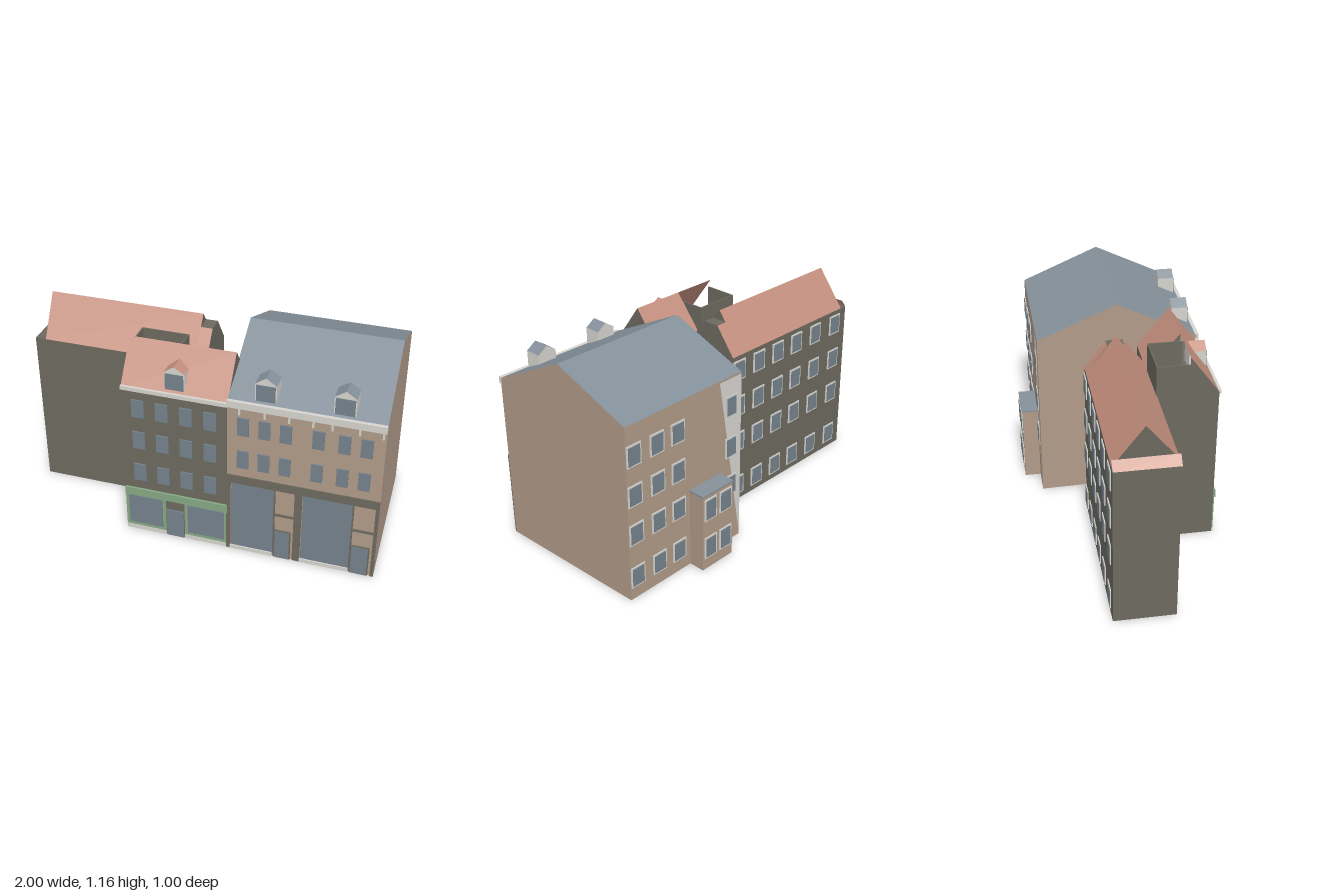
import * as THREE from 'three';

const mat = (name, color, side = THREE.FrontSide) => {
  const m = new THREE.MeshStandardMaterial({ color, side });
  m.name = name;
  return m;
};

export function createModel() {
  const model = new THREE.Group();
  const tan = mat('tan plaster', 0xb09a88);
  const olive = mat('dark grey plaster', 0x6c695f);
  const tile = mat('red roof tile', 0xc48f7e, THREE.DoubleSide);
  const slate = mat('slate', 0x84909a);
  const white = mat('white trim', 0xd6d4ce);
  const glass = mat('glass', 0x74818b);
  const green = mat('green shopfront', 0x85a883);

  const group = (name, parent = model) => {
    const g = new THREE.Group();
    g.name = name;
    parent.add(g);
    return g;
  };

  // Box given by its lower and upper bounds
  const box = (parent, name, m, x0, x1, y0, y1, z0, z1) => {
    const mesh = new THREE.Mesh(new THREE.BoxGeometry(x1 - x0, y1 - y0, z1 - z0), m);
    mesh.position.set((x0 + x1) / 2, (y0 + y1) / 2, (z0 + z1) / 2);
    mesh.name = name;
    parent.add(mesh);
    return mesh;
  };

  // Flat convex faces, each a counter-clockwise loop of corners
  const faces = (parent, name, m, ...loops) => {
    const pos = [];
    for (const l of loops)
      for (let i = 1; i < l.length - 1; i++) pos.push(...l[0], ...l[i], ...l[i + 1]);
    const geo = new THREE.BufferGeometry();
    geo.setAttribute('position', new THREE.Float32BufferAttribute(pos, 3));
    geo.computeVertexNormals();
    const mesh = new THREE.Mesh(geo, m);
    mesh.name = name;
    parent.add(mesh);
  };

  // Prism from a [z, y] profile (front, over the top, to the back) between two x rules;
  // the edges listed in roofEdges get the roof material
  const house = (parent, name, profile, x0, x1, wall, roof, roofEdges = []) => {
    const L = ([z, y]) => [x0(z), y, z], R = ([z, y]) => [x1(z), y, z];
    const walls = [profile.map(L), profile.map(R).reverse()], roofs = [];
    profile.forEach((p, i) => {
      const q = profile[(i + 1) % profile.length];
      (roofEdges.includes(i) ? roofs : walls).push([L(p), R(p), R(q), L(q)]);
    });
    faces(parent, name + ' walls', wall, ...walls);
    if (roofs.length) faces(parent, name + ' roof', roof, ...roofs);
  };
  const at = (x) => () => x;

  // Thin window plates on a front (dir 1) or back (dir -1) wall
  const windows = (parent, xs, ys, z, w, h, dir, framed) => {
    const plate = (name, m, x, y, ww, hh, t) =>
      box(parent, name, m, x - ww / 2, x + ww / 2, y - hh / 2, y + hh / 2,
        Math.min(z, z + dir * t), Math.max(z, z + dir * t));
    for (const x of xs) for (const y of ys) {
      if (framed) plate('window frame', white, x, y, w + 0.018, h + 0.018, 0.005);
      plate('window pane', glass, x, y, w, h, 0.008);
    }
  };

  // Dormer with pitched roof
  const dormer = (parent, x, y, roof) => {
    const g = group('dormer', parent), w = 0.055, a = 0.37, b = 0.462, e = y + 0.105, p = y + 0.142;
    box(g, 'dormer walls', white, x - w, x + w, y, e, a, b);
    box(g, 'dormer window', glass, x - w + 0.006, x + w - 0.006, y, e - 0.005, b, b + 0.004);
    faces(g, 'dormer gables', white,
      [[x - w, e, b], [x + w, e, b], [x, p, b]], [[x + w, e, a], [x - w, e, a], [x, p, a]]);
    faces(g, 'dormer roof', roof,
      [[x + w, e, b], [x + w, e, a], [x, p, a], [x, p, b]],
      [[x - w, e, a], [x - w, e, b], [x, p, b], [x, p, a]]);
  };

  // Tan double house
  const F = 0.485, B = -0.405;
  const tanHouse = group('tan house');
  house(tanHouse, 'tan house', [[F, 0], [F, 0.94], [0.035, 1.165], [B, 0.985], [B, 0]],
    (z) => 0.2 + (z - F) * 0.028, (z) => 1 + (z - F) * 0.034, tan, slate, [1, 2]);
  windows(tanHouse, [0.285, 0.395, 0.505, 0.67, 0.8, 0.91], [0.795, 0.595], F, 0.06, 0.105, 1);
  windows(tanHouse, [0.63, 0.77, 0.92], [0.82, 0.6, 0.38, 0.13], B, 0.075, 0.1, -1, true);
  faces(tanHouse, 'white wall wedge', white,
    [[0.335, 0.975, B - 0.003], [0.178, 0.01, B - 0.003], [0.176, 0.975, B - 0.003]]);
  windows(tanHouse, [0.25], [0.82, 0.58, 0.35], B - 0.001, 0.065, 0.1, -1, true);
  box(tanHouse, 'cornice', white, 0.2, 1, 0.905, 0.943, F - 0.005, 0.5);
  for (const x of [0.265, 0.395, 0.52, 0.64, 0.735, 0.87, 0.985])
    box(tanHouse, 'cornice bracket', white, x - 0.005, x + 0.005, 0.867, 0.905, F, 0.497);
  dormer(tanHouse, 0.39, 0.94, slate);
  dormer(tanHouse, 0.785, 0.94, slate);

  // Ground floor shopfronts
  for (const [a, b, split] of [[0.2, 0.582, 0.455], [0.582, 1, 0.865]]) {
    const g = group('tan house shopfront', tanHouse);
    box(g, 'shop surround', olive, a, b, 0.44, 0.488, F, 0.492);
    box(g, 'left pilaster', olive, a, a + 0.022, 0, 0.44, F, 0.491);
    box(g, 'right pilaster', olive, b - 0.018, b, 0, 0.44, F, 0.491);
    box(g, 'shop window', glass, a + 0.026, split, 0.025, 0.44, F, 0.489);
    box(g, 'window post', olive, split, split + 0.008, 0.02, 0.44, F, 0.491);
    box(g, 'transom', olive, split, b - 0.018, 0.275, 0.288, F, 0.491);
    box(g, 'door surround', olive, split + 0.005, b - 0.03, 0, 0.182, F, 0.49);
    box(g, 'door', glass, split + 0.012, b - 0.037, 0, 0.175, F, 0.493);
    box(g, 'plinth', white, a + 0.02, split, 0, 0.022, F, 0.492);
  }

  // Small rear extension
  const ext = group('rear extension');
  box(ext, 'extension walls', tan, 0.33, 0.55, 0, 0.445, -0.495, B);
  box(ext, 'extension roof', slate, 0.328, 0.552, 0.445, 0.453, -0.5, B);
  windows(ext, [0.385, 0.495], [0.36, 0.13], -0.495, 0.07, 0.11, -1, true);

  // Middle house
  const mid = group('middle house'), E = 0.905, M = 0.482, RZ = 0.325, RY = 1.12, MB = 0.15;
  house(mid, 'middle house', [[M, 0], [M, E], [MB, E], [MB, 0]], at(-0.37), at(0.2), olive);
  faces(mid, 'middle roof', tile,
    [[-0.37, E, M], [0.2, E, M], [0.2, RY, RZ], [-0.37, RY, RZ]],
    [[-0.11, RY, RZ], [0.2, RY, RZ], [0.2, E, MB], [-0.11, E, MB]]);
  faces(mid, 'middle gables', olive,
    [[0.2, E, M], [0.2, E, MB], [0.2, RY, RZ]],
    [[-0.37, E, RZ], [-0.37, E, M], [-0.37, RY, RZ]],
    [[-0.11, E, MB], [-0.11, E, RZ], [-0.11, RY, RZ]]);
  // Open light well behind the ridge
  box(mid, 'well back wall', olive, -0.37, -0.11, E, 1.077, MB, MB + 0.008);
  box(mid, 'well left wall', olive, -0.37, -0.362, E, 1.077, MB, RZ + 0.01);
  box(mid, 'well right wall', olive, -0.118, -0.11, E, 1.077, MB, RZ + 0.01);
  windows(mid, [-0.28, -0.15, -0.02, 0.11], [0.79, 0.595, 0.39], M, 0.068, 0.105, 1);
  box(mid, 'cornice', white, -0.37, 0.2, 0.895, 0.917, M - 0.005, 0.492);
  dormer(mid, -0.085, 0.918, tile);

  // Green shopfront
  const shop = group('green shopfront', mid);
  box(shop, 'shop sign band', green, -0.37, 0.205, 0.235, 0.28, M, 0.494);
  for (const [a, b] of [[-0.37, -0.142], [-0.035, 0.205]]) {
    box(shop, 'shop frame', green, a, b, 0.025, 0.235, M, 0.488);
    box(shop, 'shop window', glass, a + 0.018, b - 0.018, 0.045, 0.228, M, 0.491);
    box(shop, 'plinth', white, a, b, 0, 0.025, M, 0.49);
  }
  box(shop, 'door', glass, -0.137, -0.04, 0, 0.172, M, 0.49);

  // Rear wing
  const wing = group('rear wing'), WF = 0.155, WB = -0.172, WE = 0.91, WR = -0.012;
  house(wing, 'wing', [[WF, 0], [WF, WE], [WB, WE], [WB, 0]], at(-1), at(-0.02), olive);
  house(wing, 'wing main', [[WF, WE], [WR, RY], [WB, WE]],
    (z) => -0.957 + Math.max(0, z) * 0.11, at(-0.085), olive, tile, [0, 1]);
  house(wing, 'wing end', [[WF, WE], [0.033, 1.064], [-0.058, 1.064], [WB, WE]],
    at(-0.085), at(-0.02), olive, tile, [0, 2]);
  faces(wing, 'wing end skirt roof', tile,
    [[-1, WE, WB], [-1, WE, WF], [-0.96, 0.955, WF], [-0.965, 0.955, WB]]);
  windows(wing, [-0.07, -0.23, -0.39, -0.55, -0.72, -0.9], [0.825, 0.605, 0.38, 0.095],
    WB, 0.075, 0.1, -1, true);

  return model;
}
